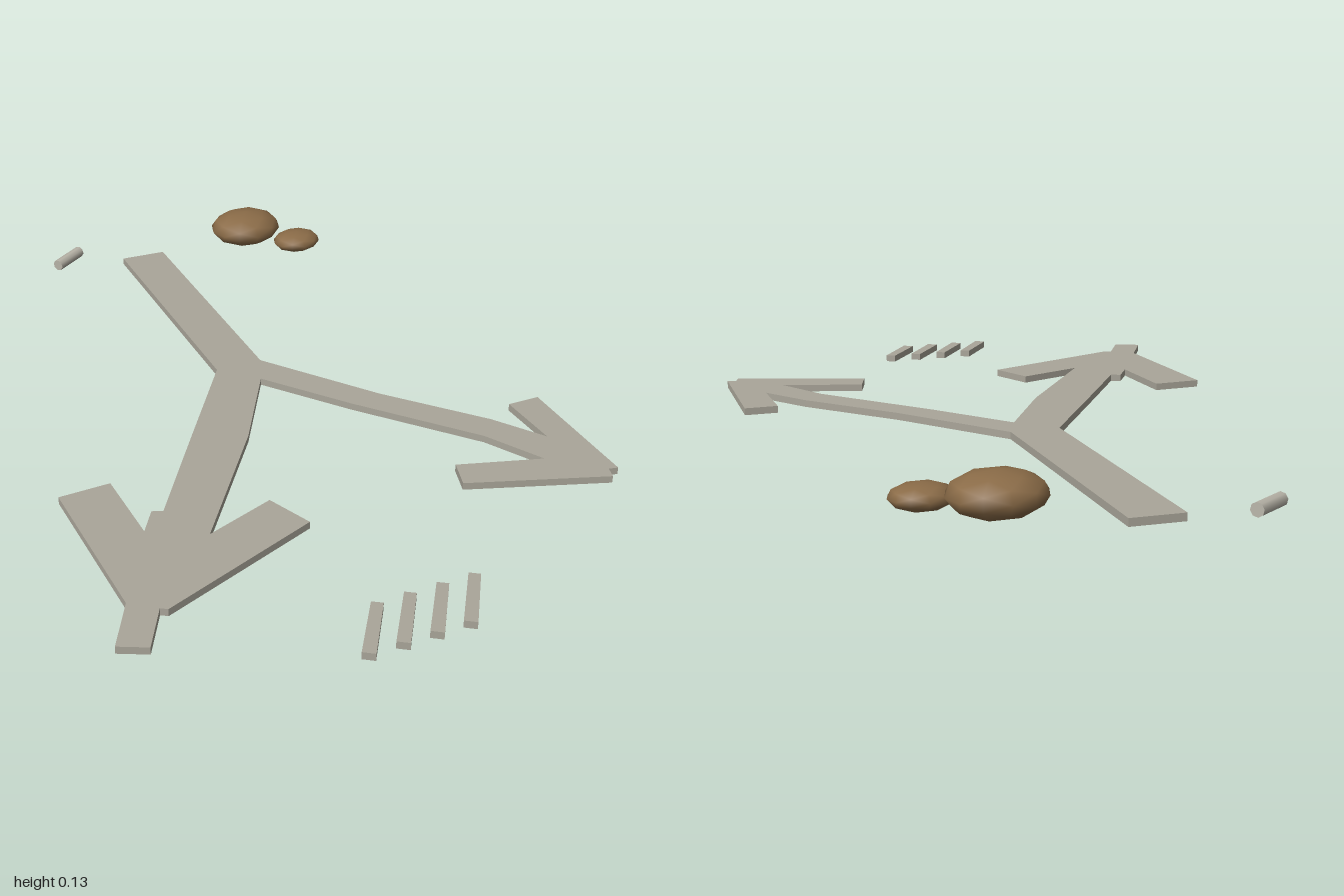
import * as THREE from 'three';

const THICK = 0.018;

// Flat slab lying on the ground from an outline of [x, z] points
function slab(name, outline, material) {
  const shape = new THREE.Shape(outline.map(([x, z]) => new THREE.Vector2(x, -z)));
  const geometry = new THREE.ExtrudeGeometry(shape, { depth: THICK, bevelEnabled: false });
  geometry.rotateX(-Math.PI / 2);
  const mesh = new THREE.Mesh(geometry, material);
  mesh.name = name;
  return mesh;
}

// Squashed low-poly stone
function pebble(name, position, radii, material) {
  const mesh = new THREE.Mesh(new THREE.IcosahedronGeometry(1, 1), material);
  mesh.name = name;
  mesh.position.set(...position);
  mesh.scale.set(...radii);
  return mesh;
}

export function createModel() {
  const stone = new THREE.MeshStandardMaterial({ color: 0xaaa69a });
  stone.name = 'grey stone';
  const chalk = new THREE.MeshStandardMaterial({ color: 0xb9b5a9 });
  chalk.name = 'pale chalk';
  const brown = new THREE.MeshStandardMaterial({ color: 0x8a6b47 });
  brown.name = 'brown pebble';

  const model = new THREE.Group();
  model.name = 'forkedArrowMarking';

  // Forked arrow: stem, large right-hand head, small left-hand head
  const stemLeft = [[0.095, -0.17], [0.11, -0.905], [-0.015, -0.91], [-0.03, -0.17]];
  const largeArrow = [
    [-0.22, 0.11], [-0.395, 0.37], [-0.42, 0.36], [-0.462, 0.425],
    [-0.465, 0.215], [-0.592, 0.22], [-0.587, 0.645], [-0.655, 0.765],
    [-0.592, 0.797], [-0.53, 0.69], [-0.515, 0.7], [-0.115, 0.545],
    [-0.16, 0.43], [-0.335, 0.495], [-0.09, 0.16],
  ];
  const smallArrow = [
    [0.055, -0.08], [0.21, 0.13], [0.43, 0.4], [0.505, 0.545],
    [0.3, 0.48], [0.275, 0.555], [0.607, 0.675], [0.617, 0.645],
    [0.64, 0.65], [0.652, 0.297], [0.567, 0.297], [0.567, 0.465],
    [0.487, 0.34], [0.297, 0.115],
  ];
  model.add(slab('forkedArrow', [...stemLeft, ...largeArrow, ...smallArrow], stone));

  // Row of slanted tally strokes
  const stroke = [[-0.127, 0.85], [-0.105, 0.865], [-0.196, 1.0], [-0.22, 0.983]];
  for (let i = 0; i < 4; i++) {
    const mesh = slab('tallyStroke' + (i + 1), stroke, stone);
    mesh.position.x = i * 0.078;
    model.add(mesh);
  }

  // Stick of chalk lying beside the stem
  const stick = new THREE.Mesh(new THREE.CylinderGeometry(0.016, 0.016, 0.105, 8), chalk);
  stick.name = 'chalkStick';
  stick.position.set(-0.172, 0.031, -0.953);
  stick.quaternion.setFromUnitVectors(
    new THREE.Vector3(0, 1, 0), new THREE.Vector3(0.82, 0.03, -0.57).normalize());
  model.add(stick);

  // Two pebbles
  model.add(pebble('largePebble', [0.36, 0.078, -0.85], [0.106, 0.049, 0.092], brown));
  model.add(pebble('smallPebble', [0.48, 0.055, -0.743], [0.071, 0.029, 0.059], brown));

  return model;
}
